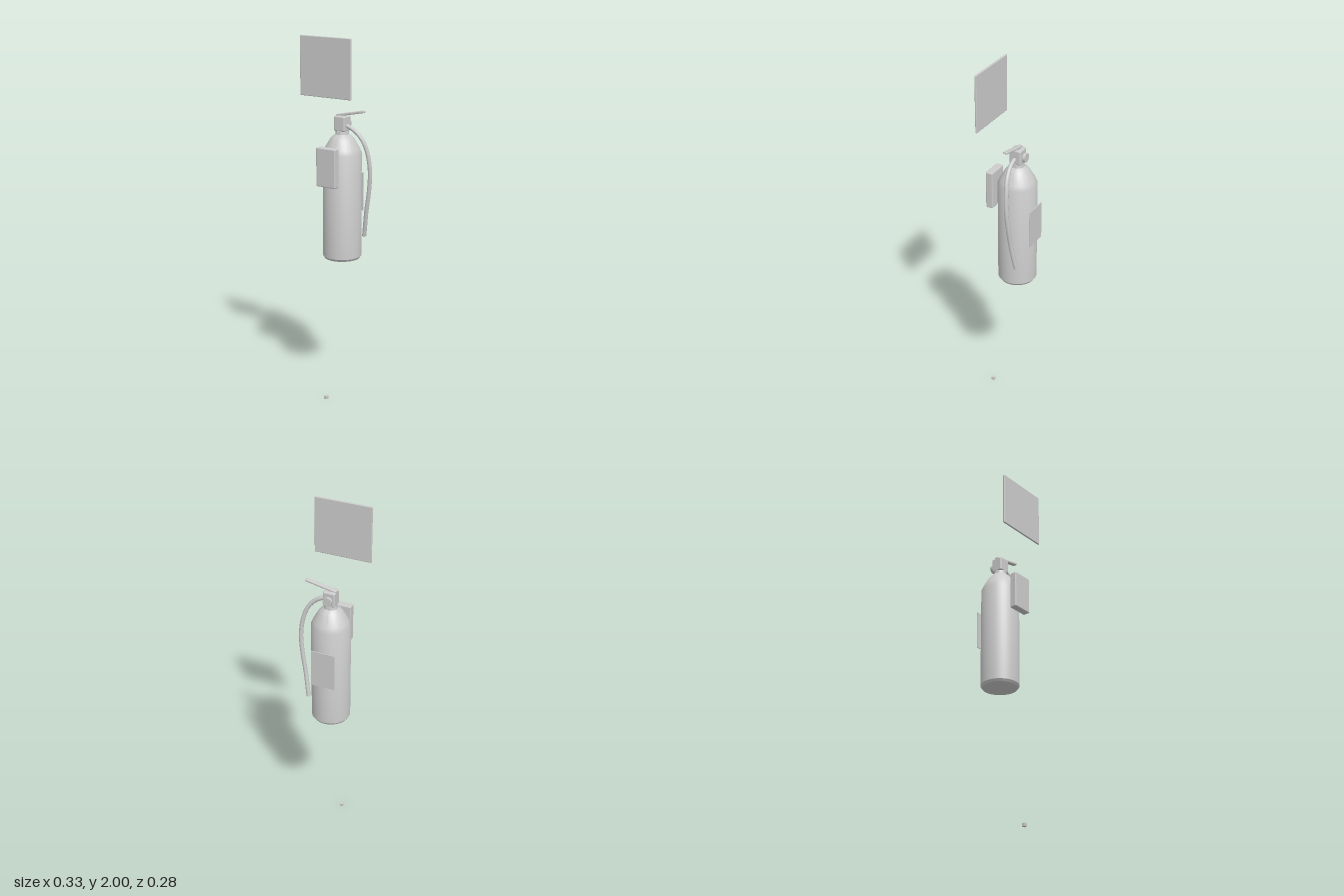
import * as THREE from 'three';
import { toCreasedNormals } from 'three/addons/utils/BufferGeometryUtils.js';
import { RoundedBoxGeometry } from 'three/addons/geometries/RoundedBoxGeometry.js';

export function createModel() {
  const group = new THREE.Group();
  const grey = new THREE.MeshStandardMaterial({ color: 0xcccccc });
  grey.name = 'plain grey';

  const add = (name, geometry, x = 0, y = 0, z = 0, parent = group) => {
    const mesh = new THREE.Mesh(geometry, grey);
    mesh.name = name;
    mesh.position.set(x, y, z);
    parent.add(mesh);
    return mesh;
  };
  const box = (name, w, h, d, r, x, y, z) =>
    add(name, new RoundedBoxGeometry(w, h, d, 2, r), x, y, z);

  const cx = -0.0105, cz = -0.03;

  // Pressure bottle with bevelled foot, tapered shoulder and neck
  const profile = [
    [0, 0.788], [0.096, 0.788], [0.105, 0.801], [0.105, 1.37], [0.094, 1.397],
    [0.065, 1.447], [0.055, 1.459], [0.037, 1.473], [0.034, 1.495], [0, 1.495],
  ].map(([r, y]) => new THREE.Vector2(r, y));
  add('bottle', toCreasedNormals(new THREE.LatheGeometry(profile, 48), 0.6), cx, 0, cz);

  // Valve head and sloping lever
  box('valveHead', 0.068, 0.082, 0.066, 0.008, cx, 1.531, cz);
  const lever = box('lever', 0.175, 0.013, 0.025, 0.004, 0.042, 1.588, -0.0315);
  lever.rotation.z = 0.2;

  // Pressure gauge behind the valve, on a short stem
  const gauge = new THREE.Group();
  gauge.name = 'gauge';
  gauge.position.set(cx, 1.528, 0);
  group.add(gauge);
  const disc = (name, r, depth, z) => {
    add(name, new THREE.CylinderGeometry(r, r, depth, 24), 0, 0, z, gauge).rotation.x = Math.PI / 2;
  };
  disc('gaugeStem', 0.01, 0.02, -0.064);
  disc('gaugeDial', 0.025, 0.014, -0.076);

  // Hose sweeping out and down the model's left side
  const path = new THREE.CatmullRomCurve3([
    [0.01, 1.522, -0.027], [0.04, 1.514, -0.028], [0.078, 1.492, -0.03], [0.115, 1.45, -0.036],
    [0.14, 1.385, -0.044], [0.153, 1.285, -0.051], [0.145, 1.18, -0.056],
    [0.125, 1.06, -0.062], [0.101, 0.913, -0.079],
  ].map((p) => new THREE.Vector3(...p)));
  const hoseRadius = 0.0115;
  add('hose', new THREE.TubeGeometry(path, 40, hoseRadius, 10));
  const end = path.getPoint(1);
  const cap = add('hoseEnd', new THREE.CircleGeometry(hoseRadius, 10), end.x, end.y, end.z);
  cap.quaternion.setFromUnitVectors(new THREE.Vector3(0, 0, 1), path.getTangent(1));

  // Thin label plate at the back of the bottle
  add('label', new THREE.BoxGeometry(0.134, 0.212, 0.004), cx, 1.143, -0.137);

  // Mounting block, wall sign and small floor marker
  box('mountingBlock', 0.121, 0.21, 0.041, 0.006, cx, 1.315, 0.1085);
  box('wallSign', 0.317, 0.312, 0.011, 0.004, cx, 1.844, 0.1235);
  box('floorMarker', 0.019, 0.019, 0.018, 0.002, cx, 0.0095, 0.128);

  return group;
}
